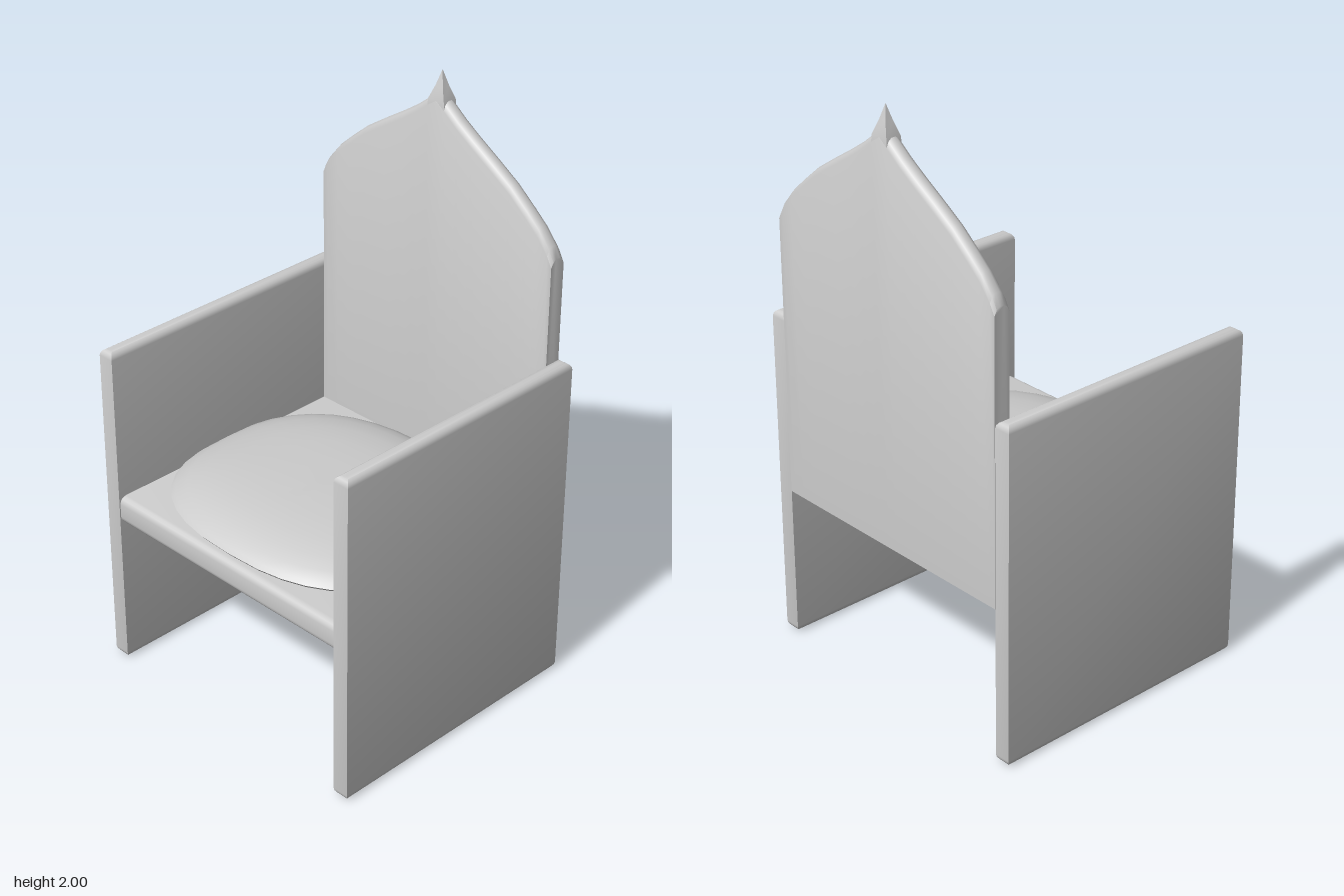
import * as THREE from 'three';
import { toCreasedNormals } from 'three/addons/utils/BufferGeometryUtils.js';

// Skin a row of closed loops (counterclockwise about the row direction) and cap both ends.
function loft(loops) {
  const n = loops[0].length, last = (loops.length - 1) * n, index = [];
  for (let i = 0; i < loops.length - 1; i++) {
    for (let j = 0; j < n; j++) {
      const a = i * n + j, b = i * n + (j + 1) % n;
      index.push(a, b, b + n, a, b + n, a + n);
    }
  }
  for (let j = 1; j < n - 1; j++) index.push(0, j + 1, j, last, last + j, last + j + 1);
  const g = new THREE.BufferGeometry();
  g.setAttribute('position', new THREE.Float32BufferAttribute(loops.flat(2), 3));
  g.setIndex(index);
  return toCreasedNormals(g, 0.7);
}

export function createModel() {
  const group = new THREE.Group();
  const material = new THREE.MeshStandardMaterial({ color: 0xcccccc });
  const add = (name, geometry) => {
    const mesh = new THREE.Mesh(geometry, material);
    mesh.name = name;
    group.add(mesh);
    return mesh;
  };

  // Side panels: upright slabs with rounded top and bottom edges
  const H = 1.178, R = 0.024;
  const levels = [];
  for (let k = 0; k <= 4; k++) {
    const a = (k / 4) * Math.PI / 2;
    levels.push([R * (1 - Math.cos(a)), R * (1 - Math.sin(a))]);
  }
  const panelLevels = [...levels, ...levels.map(([y, inset]) => [H - y, inset]).reverse()];
  const panel = loft(panelLevels.map(([y, inset]) => {
    const x = 0.029 - inset, z = 0.494 - inset;
    return [[-x, y, z], [x, y, z], [x, y, -z], [-x, y, -z]];
  }));
  for (const s of [1, -1]) add(s > 0 ? 'leftPanel' : 'rightPanel', panel).position.x = s * 0.524;

  // Backrest: ogee-topped board with a rounded top edge
  const half = [[0, 1.925], [0.035, 1.905], [0.09, 1.862], [0.15, 1.822], [0.23, 1.772],
    [0.31, 1.72], [0.38, 1.662], [0.43, 1.618], [0.475, 1.565], [0.494, 1.53]];
  const outline = [...half.slice(1).reverse().map(([x, y]) => [-x, y]), ...half];
  const zBack = -0.466, d = 0.029;
  add('backrest', loft(outline.map(([x, t]) => {
    const front = [[t, 0.008], [t - 0.008, 0.02], [t - 0.025, d], [0.545, d]];
    const back = front.map(([y, z]) => [y, -z]).reverse();
    return [...front, ...back].map(([y, z]) => [x, y, zBack + z]);
  })));

  // Pointed finial: four-sided spike at the peak
  const finial = [[1.87, 0.036, d], [1.905, 0.033, 0.027], [1.95, 0.015, 0.014], [2, 0.0005, 0.0005]];
  add('finial', loft(finial.map(([y, x, z]) =>
    [[-x, y, zBack + z], [x, y, zBack + z], [x, y, zBack - z], [-x, y, zBack - z]])));

  // Seat board with a rounded front edge
  const top = 0.643, bottom = 0.545, r = 0.025;
  const edge = [[top, -0.45]];
  for (let k = 0; k <= 8; k++) {
    const a = (k / 8) * Math.PI;
    const cy = k <= 4 ? top - r : bottom + r;
    edge.push([cy + r * Math.cos(a), 0.49 - r + r * Math.sin(a)]);
    if (k === 4) edge.push([bottom + r, 0.49]);
  }
  edge.push([bottom, -0.45]);
  add('seat', loft([-0.496, 0.496].map((x) => edge.map(([y, z]) => [x, y, z]))));

  // Cushion: domed pad with a rounded-square plan
  const pad = [[0.93, 0.638], [0.98, 0.645], [1, 0.656], [0.975, 0.669], [0.9, 0.688],
    [0.8, 0.706], [0.65, 0.721], [0.45, 0.731], [0.2, 0.735]];
  const bulge = (v) => Math.sign(v) * Math.abs(v) ** 0.8;
  add('cushion', loft(pad.map(([s, y]) => Array.from({ length: 36 }, (_, j) => {
    const a = (j / 36) * Math.PI * 2;
    return [0.52 * s * bulge(Math.sin(a)), y, 0.016 + 0.453 * s * bulge(Math.cos(a))];
  }))));

  return group;
}
